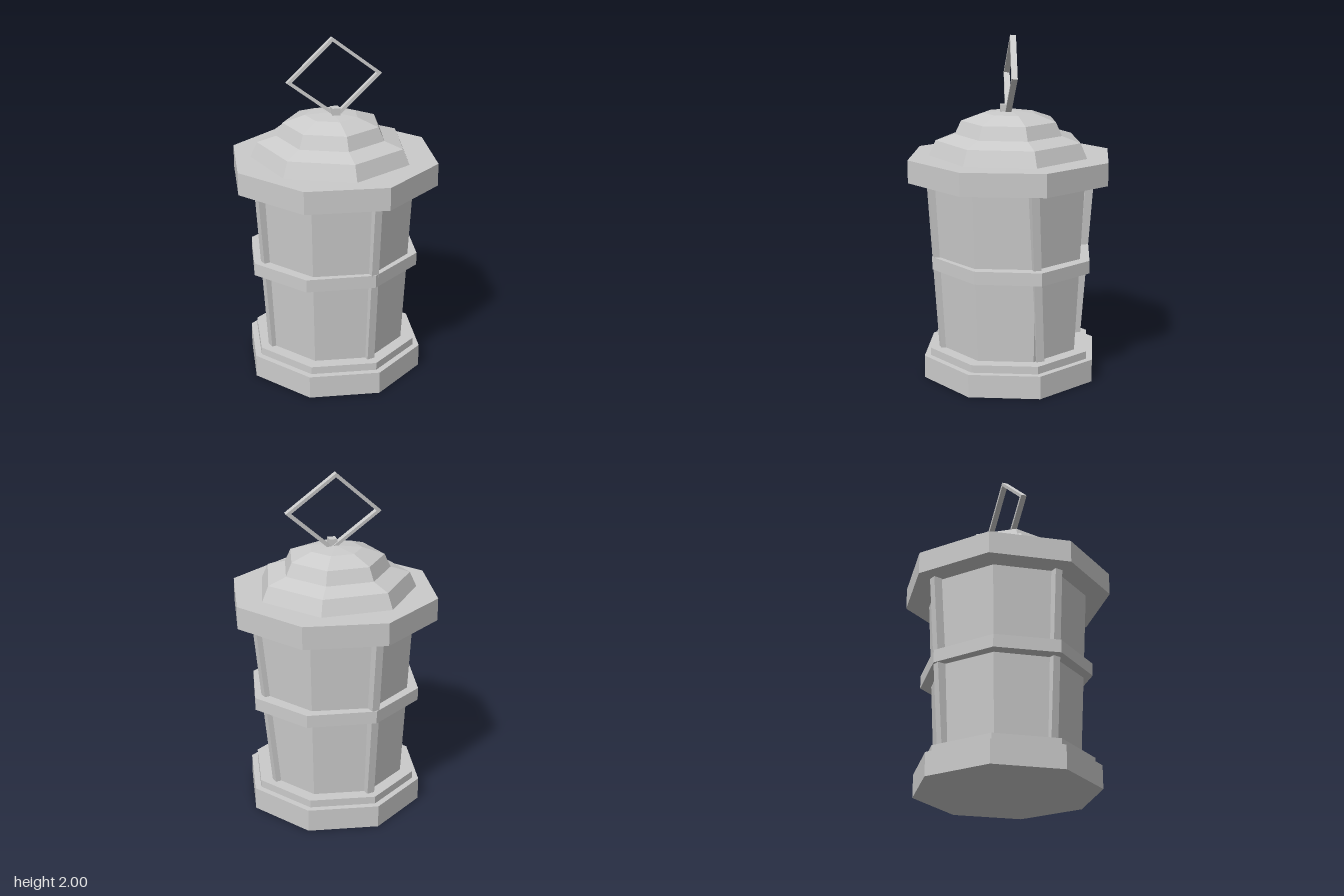
import * as THREE from 'three';

const grey = new THREE.MeshStandardMaterial({ color: 0xcccccc, flatShading: true });

export function createModel() {
  const model = new THREE.Group();
  model.name = 'lantern';

  const add = (name, geometry, x = 0, y = 0, z = 0) => {
    const mesh = new THREE.Mesh(geometry, grey);
    mesh.name = name;
    mesh.position.set(x, y, z);
    model.add(mesh);
    return mesh;
  };

  // Eight-sided drum between two heights
  const drum = (name, rBottom, rTop, y0, y1) =>
    add(name, new THREE.CylinderGeometry(rTop, rBottom, y1 - y0, 8), 0, (y0 + y1) / 2, 0);

  // Straight bar with a rectangular section from a to b
  const bar = (name, a, b, width, depth, facing) => {
    const mesh = add(name, new THREE.BoxGeometry(width, a.distanceTo(b), depth));
    const up = b.clone().sub(a).normalize();
    const side = up.clone().cross(facing).normalize();
    mesh.quaternion.setFromRotationMatrix(
      new THREE.Matrix4().makeBasis(side, up, side.clone().cross(up)));
    mesh.position.copy(a).add(b).multiplyScalar(0.5);
  };

  // Base, glass body, middle band and wide rim
  drum('base', 0.533, 0.533, 0, 0.135);
  drum('baseStep', 0.495, 0.495, 0.135, 0.18);
  drum('body', 0.418, 0.472, 0.17, 1.19);
  const band = drum('middleBand', 0.522, 0.522, 0.66, 0.735);
  band.scale.z = 0.935;
  band.position.z = -0.01;
  drum('rim', 0.613, 0.613, 1.18, 1.312);

  // Four leaning corner struts: angle, radius and sideways shift at bottom and top
  const struts = [
    [0, 0.41, 0.475, 0, 0],
    [Math.PI / 2, 0.4, 0.48, 0.04, -0.025],
    [Math.PI, 0.42, 0.5, 0, 0],
    [-Math.PI / 2, 0.41, 0.48, 0, 0],
  ];
  for (const [angle, r0, r1, s0, s1] of struts) {
    const out = new THREE.Vector3(Math.sin(angle), 0, Math.cos(angle));
    const side = new THREE.Vector3(Math.cos(angle), 0, -Math.sin(angle));
    const point = (r, s, y) => out.clone().multiplyScalar(r).addScaledVector(side, s).setY(y);
    bar('cornerStrut', point(r0, s0, 0.17), point(r1, s1, 1.2), 0.046, 0.05, out);
  }

  // Seven-sided stepped lid
  const profile = [
    [0.47, 1.305], [0.47, 1.312], [0.43, 1.4], [0.318, 1.435],
    [0.282, 1.512], [0.155, 1.556], [0, 1.57],
  ].map(([r, y]) => new THREE.Vector2(r, y));
  add('lid', new THREE.LatheGeometry(profile, 7, Math.PI / 2), -0.012, 0, 0);

  // Knob that holds the handle
  add('knob', new THREE.BoxGeometry(0.045, 0.055, 0.055), -0.008, 1.578, 0.03).rotation.y = -0.25;

  // Diamond-shaped carrying handle
  const diamond = (Path, w, h) => new Path().setFromPoints([
    new THREE.Vector2(w, 0), new THREE.Vector2(0, h),
    new THREE.Vector2(-w, 0), new THREE.Vector2(0, -h)]);
  const outline = diamond(THREE.Shape, 0.279, 0.23);
  outline.holes.push(diamond(THREE.Path, 0.25, 0.206));
  const ring = new THREE.ExtrudeGeometry(outline, { depth: 0.034, bevelEnabled: false });
  ring.translate(0, 0, -0.017);
  const handle = add('handle', ring, 0.002, 1.77, 0);
  handle.rotation.set(-0.07, -0.24, 0.02);

  return model;
}
